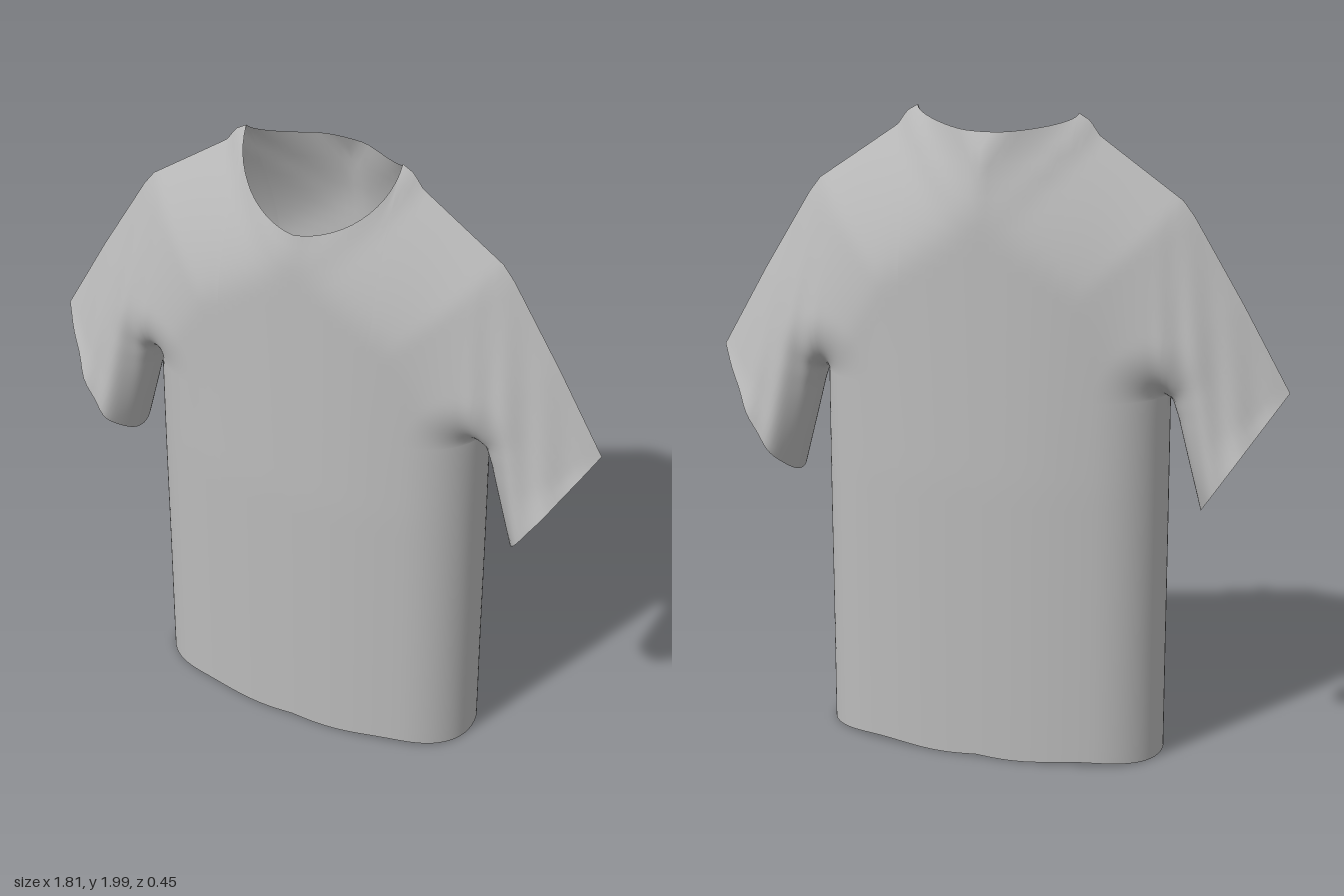
import * as THREE from 'three';
import { mergeVertices } from 'three/addons/utils/BufferGeometryUtils.js';

const V = (x, y) => new THREE.Vector2(x, y);
const clamp = THREE.MathUtils.clamp;

// Pattern lines of the left half: shoulder and sleeve top, then underarm
const shoulder = [V(0.25, 2), V(0.285, 1.98), V(0.315, 1.937), V(0.44, 1.85), V(0.57, 1.76)];
const sleeveTop = [V(0.57, 1.76), V(0.605, 1.715), V(0.76, 1.46), V(0.905, 1.205)];
const sleeveUnder = [V(0.54, 1.175), V(0.556, 1.165), V(0.575, 1.11), V(0.65, 0.82)];
const lowerSeam = [V(0.54, -0.2), ...sleeveUnder];

// Point at fraction f of a polyline's length
function along(points, f) {
  const path = new THREE.CurvePath();
  for (let i = 1; i < points.length; i++) path.add(new THREE.LineCurve(points[i - 1], points[i]));
  return path.getPointAt(f);
}

function distanceTo(points, p) {
  let best = Infinity;
  for (let i = 1; i < points.length; i++) {
    const a = points[i - 1], d = points[i].clone().sub(a);
    const t = clamp(p.clone().sub(a).dot(d) / d.lengthSq(), 0, 1);
    best = Math.min(best, p.distanceTo(a.clone().addScaledVector(d, t)));
  }
  return best;
}

// Upper seam, carried over the neck opening as a low arch
function upperSeam(rise) {
  const arch = [];
  for (let i = 0; i < 6; i++) {
    const a = (i / 6) * Math.PI / 2;
    arch.push(V(0.25 * Math.sin(a), 2 + rise * Math.cos(a)));
  }
  return [...arch, ...shoulder, ...sleeveTop.slice(1)];
}
const seams = { front: upperSeam(0.12), back: upperSeam(0.155) };

// Half thickness of the cloth tube at a pattern point
function depth(p, seam) {
  const q = Math.min(distanceTo(seam, p) / 0.38, 1);
  const slope = 1 - Math.pow(1 - q, 1.6);
  const full = 0.222 - 0.027 * clamp((p.y - 0.9) / 0.9, 0, 1);
  const body = full * Math.pow(Math.max(0, 1 - Math.pow(p.x / 0.54, 2.3)), 1 / 2.3);
  const e = Math.min(distanceTo(lowerSeam, p) / 0.19, 1);
  const sleeve = 0.168 * Math.sqrt(Math.max(0, 1 - (1 - e) * (1 - e)));
  const fold = 1 + 0.045 * clamp((p.x - 0.5) / 0.12, 0, 1) * Math.sin(p.x * 62 + p.y * 9);
  return slope * fold * Math.pow(Math.pow(body, 10) + Math.pow(sleeve, 10), 0.1);
}

const NECK = 14, SIDE = 22, LOW = 24, HIGH = 26, SLEEVE = 22;
const rowFraction = (j) => Math.sin((1 - j / HIGH) * Math.PI / 2); // 1 at the underarm, 0 at the top

// Grids of pattern points (columns outward, rows upward) for one quarter of the shirt
function patternGrids(neckDrop) {
  const lower = [], upper = [], sleeve = [];
  for (let i = 0; i <= NECK + SIDE; i++) {
    let xb, top;
    if (i < NECK) {
      const a = (i / NECK) * Math.PI / 2;
      xb = 0.25 * Math.sin(a);
      top = V(xb, 2 - neckDrop * Math.cos(a));
    } else {
      const f = (i - NECK) / SIDE;
      xb = 0.25 + 0.29 * Math.sin(f * Math.PI / 2);
      top = along(shoulder, f);
    }
    const hem = 0.012 + 0.006 * Math.cos(xb * 14 + 1.5);
    const mid = V(xb, 1.175);
    lower.push(Array.from({ length: LOW + 1 }, (_, j) => V(xb, hem + (1.175 - hem) * j / LOW)));
    upper.push(Array.from({ length: HIGH + 1 }, (_, j) => top.clone().lerp(mid, rowFraction(j))));
  }
  for (let i = 0; i <= SLEEVE; i++) {
    const top = along(sleeveTop, i / SLEEVE), under = along(sleeveUnder, i / SLEEVE);
    sleeve.push(Array.from({ length: HIGH + 1 }, (_, j) => top.clone().lerp(under, rowFraction(j))));
  }
  return [lower, upper, sleeve];
}

function shirtGeometry() {
  const positions = [], keys = [], index = [];
  for (const sz of [1, -1]) {
    const seam = sz > 0 ? seams.front : seams.back;
    for (const grid of patternGrids(sz > 0 ? 0.2 : 0.045)) {
      const cols = grid.length, rows = grid[0].length;
      const depths = grid.map((col) => col.map((p) => depth(p, seam)));
      for (const sx of [1, -1]) {
        const base = positions.length / 3;
        grid.forEach((col, i) => col.forEach((p, j) => {
          positions.push(sx * p.x, p.y, sz * depths[i][j]);
          // Front and back stay separate on the upper seam, to keep it crisp
          keys.push(distanceTo(seam, p) < 1e-3 ? sz : 0, 0);
        }));
        for (let i = 0; i < cols - 1; i++) {
          for (let j = 0; j < rows - 1; j++) {
            const a = base + i * rows + j, b = a + rows, c = b + 1, d = a + 1;
            if (sx * sz > 0) index.push(a, b, c, a, c, d);
            else index.push(a, c, b, a, d, c);
          }
        }
      }
    }
  }
  let geometry = new THREE.BufferGeometry();
  geometry.setAttribute('position', new THREE.Float32BufferAttribute(positions, 3));
  geometry.setAttribute('uv', new THREE.Float32BufferAttribute(keys, 2));
  geometry.setIndex(index);
  geometry = mergeVertices(geometry, 1e-4);
  geometry.deleteAttribute('uv');
  geometry.computeVertexNormals();
  return geometry;
}

export function createModel() {
  const cloth = new THREE.MeshStandardMaterial({ color: 0xbbbbbb, side: THREE.DoubleSide });
  cloth.name = 'grey cloth';
  const shirt = new THREE.Mesh(shirtGeometry(), cloth);
  shirt.name = 'shirt';
  const group = new THREE.Group();
  group.name = 'shortSleevedShirt';
  group.add(shirt);
  return group;
}
